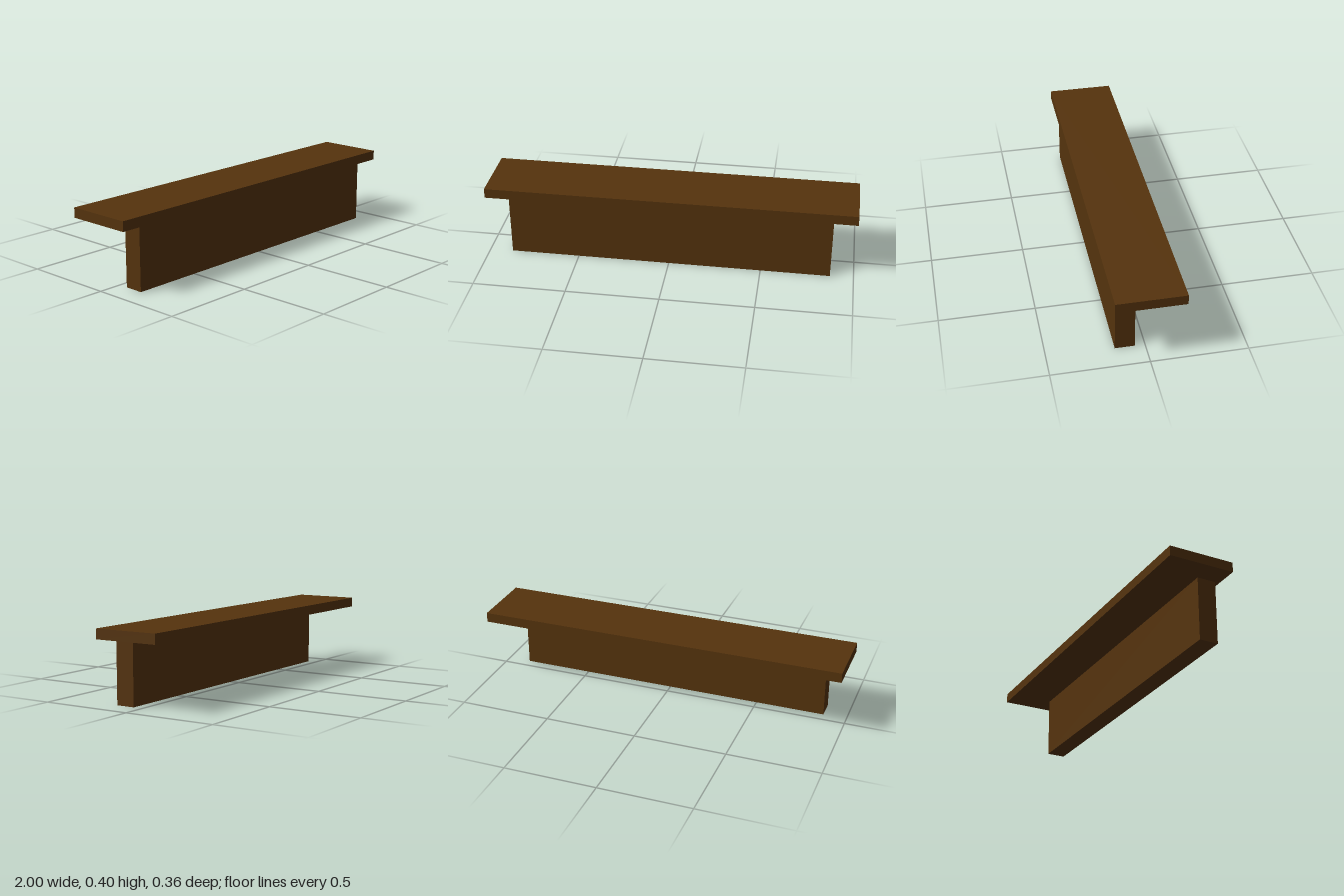
import * as THREE from 'three';

export function createModel() {
  const group = new THREE.Group();
  group.name = 'counter';
  const darkWood = new THREE.MeshStandardMaterial({ color: 0x55330d });
  darkWood.name = 'darkWood';

  // Box given by its width and its y and z ranges, centred on x
  function addBox(name, width, y0, y1, z0, z1) {
    const mesh = new THREE.Mesh(new THREE.BoxGeometry(width, y1 - y0, z1 - z0), darkWood);
    mesh.position.set(0, (y0 + y1) / 2, (z0 + z1) / 2);
    mesh.name = name;
    group.add(mesh);
  }

  // Upright panel, set towards the front
  addBox('frontPanel', 1.748, 0, 0.342, 0.052, 0.154);
  // Overhanging top slab
  addBox('counterTop', 2, 0.342, 0.395, -0.178, 0.178);

  return group;
}
